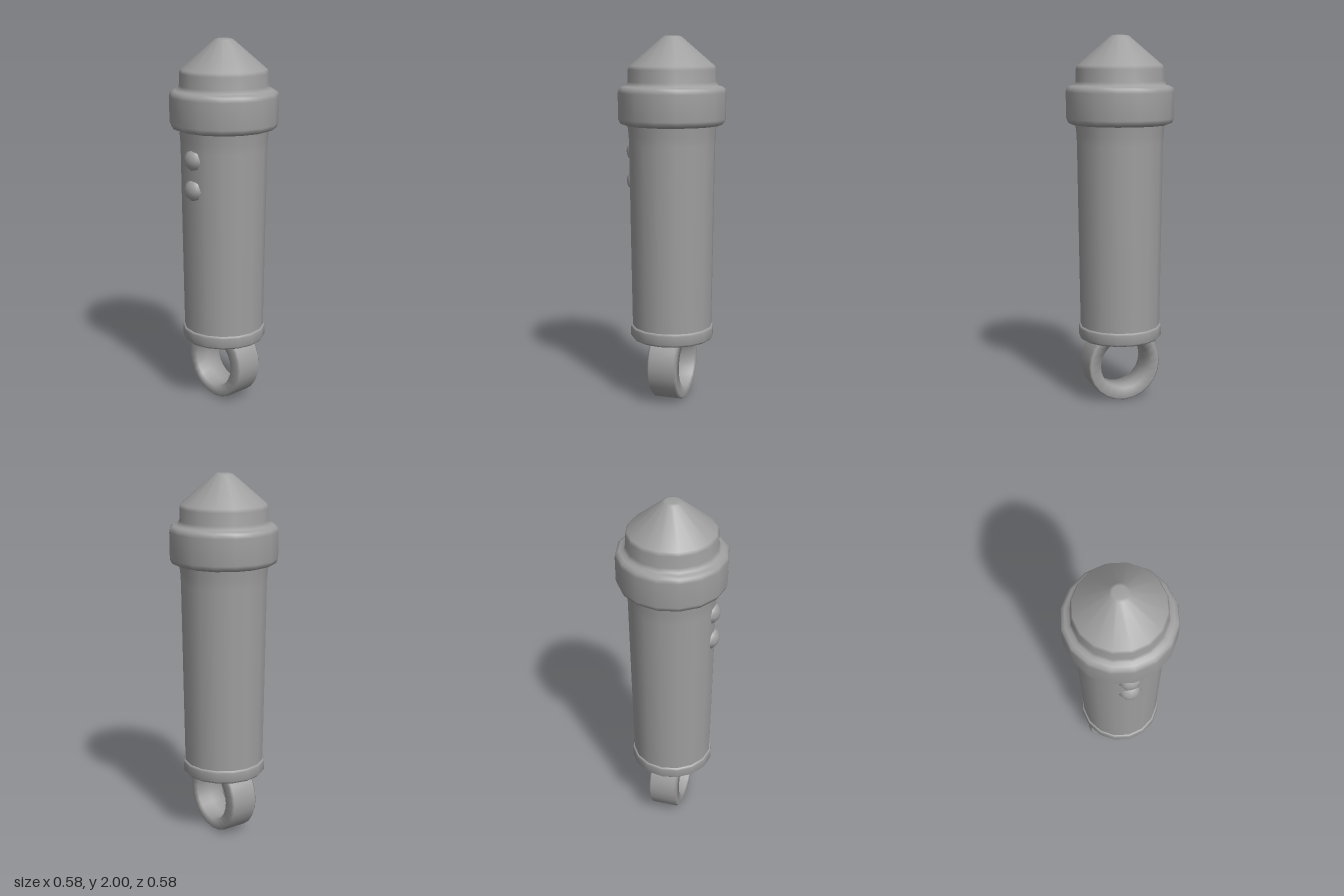
import * as THREE from 'three';

const material = new THREE.MeshStandardMaterial({ color: 0x9e9e9e });

// Revolves [radius, height] points around y
function lathe(name, points, segments = 16) {
  const profile = points.map(([r, y]) => new THREE.Vector2(r, y));
  const mesh = new THREE.Mesh(new THREE.LatheGeometry(profile, segments), material);
  mesh.name = name;
  return mesh;
}

export function createModel() {
  const group = new THREE.Group();
  group.name = 'handheldTorch';

  // Rounded cap closing the lower end
  group.add(lathe('endCap', [
    [0, 0.346], [0.216, 0.346], [0.229, 0.36], [0.229, 0.408], [0.225, 0.418], [0.214, 0.421],
  ]));

  // Slightly tapered grip, flaring under the collar
  group.add(lathe('grip', [
    [0.219, 0.41], [0.226, 0.9], [0.233, 1.42], [0.235, 1.47], [0.242, 1.535],
  ]));

  // Wide collar with softened rims, running smoothly into the neck and blunt cone
  group.add(lathe('collarAndHead', [
    [0.225, 1.526], [0.255, 1.526], [0.28, 1.535], [0.291, 1.56],
    [0.292, 1.7], [0.286, 1.722], [0.268, 1.733], [0.248, 1.738], [0.238, 1.758],
    [0.237, 1.822], [0.229, 1.842], [0.05, 1.995], [0.035, 2], [0, 2],
  ]));

  // Two domed buttons on the front
  for (const [name, y] of [['upperButton', 1.38], ['lowerButton', 1.218]]) {
    const button = new THREE.Mesh(new THREE.SphereGeometry(0.064, 8, 8), material);
    button.name = name;
    button.rotation.x = Math.PI / 2;
    button.scale.y = 0.86;
    button.position.set(0, y, 0.204);
    group.add(button);
  }

  // Broad hanging ring, a closed band section revolved around z
  const ring = lathe('hangingRing', [
    [0.14, 0], [0.14, -0.082], [0.196, -0.082], [0.207, -0.07],
    [0.207, 0.07], [0.196, 0.082], [0.14, 0.082], [0.14, 0],
  ], 24);
  ring.rotation.x = Math.PI / 2;
  ring.position.set(0, 0.207, -0.003);
  group.add(ring);

  return group;
}
